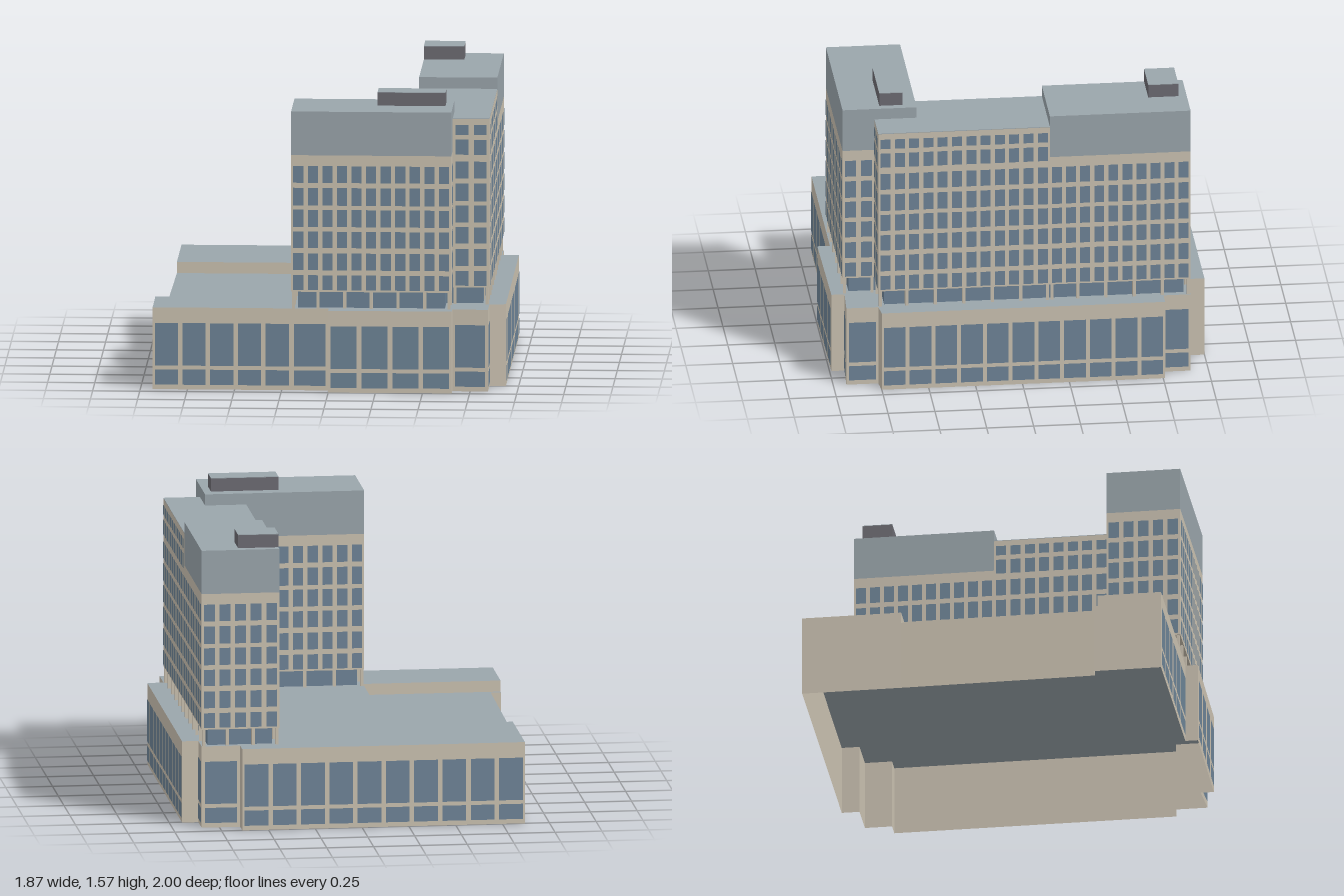
import * as THREE from 'three';
import { mergeGeometries } from 'three/addons/utils/BufferGeometryUtils.js';

const mat = (name, color, side = THREE.FrontSide) => {
  const m = new THREE.MeshStandardMaterial({ color, side });
  m.name = name;
  return m;
};

export function createModel() {
  const stone = mat('stone', 0xcbc2b1, THREE.DoubleSide);
  const glass = mat('glass', 0x6e8497);
  const slate = mat('slate', 0x9aa5ab, THREE.DoubleSide);
  const plant = mat('plantGrey', 0x6c6b72);

  const model = new THREE.Group();
  model.name = 'building';
  const add = (parent, name, geo, material) => {
    const mesh = new THREE.Mesh(geo, material);
    mesh.name = name;
    parent.add(mesh);
    return mesh;
  };
  const boxGeo = (x0, x1, y0, y1, z0, z1) =>
    new THREE.BoxGeometry(x1 - x0, y1 - y0, z1 - z0)
      .translate((x0 + x1) / 2, (y0 + y1) / 2, (z0 + z1) / 2);

  // Places a geometry made on the local xy plane against the wall from a to b.
  // The outside lies on +z when the wall runs towards +x.
  const onWall = (geo, a, b) =>
    geo.rotateY(Math.atan2(-(b[1] - a[1]), b[0] - a[0])).translate(a[0], 0, a[1]);
  const length = (a, b) => Math.hypot(b[0] - a[0], b[1] - a[1]);

  const wall = (parent, name, a, b, y0, y1) => {
    const l = length(a, b);
    const g = new THREE.PlaneGeometry(l, y1 - y0).translate(l / 2, (y0 + y1) / 2, 0);
    add(parent, name, onWall(g, a, b), stone);
  };

  // Grid of panes: count columns, rows given as [bottom, top]
  const panes = (parent, name, a, b, count, rows, fill) => {
    const pitch = length(a, b) / count, list = [];
    for (let i = 0; i < count; i++) {
      for (const [y0, y1] of rows) {
        list.push(new THREE.PlaneGeometry(pitch * fill, y1 - y0)
          .translate((i + 0.5) * pitch, (y0 + y1) / 2, 0.003));
      }
    }
    add(parent, name, onWall(mergeGeometries(list), a, b), glass);
  };

  const flatRoof = (parent, name, points, y) => {
    const shape = new THREE.Shape(points.map(([x, z]) => new THREE.Vector2(x, -z)));
    add(parent, name, new THREE.ShapeGeometry(shape).rotateX(-Math.PI / 2).translate(0, y, 0), slate);
  };

  // Podium: a shell of walls, open below; each entry is start point and window count
  const podium = new THREE.Group();
  podium.name = 'podium';
  model.add(podium);
  const TOP = 0.44, LOW = 0.38;
  const outline = [
    [-0.935, 0.93, 5], [-0.2, 0.93, 1], [0, 0.93, 0], [0, 0.997, 4], [0.655, 0.99, 0],
    [0.655, 0.92, 1], [0.845, 0.93, 1], [0.845, 0.76, 0], [0.932, 0.75, 11], [0.932, -0.76, 0],
    [0.845, -0.76, 1], [0.845, -0.905, 1], [0.64, -0.905, 0], [0.64, -1, 10],
    [-0.87, -1, 0], [-0.87, -0.47, 0], [-0.88, 0.57, 0], [-0.935, 0.57, 0], [-0.935, 0.59, 0],
  ];
  const podiumRows = [[0.025, 0.107], [0.128, 0.357]];
  outline.forEach((a, i) => {
    const b = outline[(i + 1) % outline.length];
    wall(podium, 'podiumWall', a, b, 0, i >= 15 && i <= 17 ? LOW : TOP);
    if (a[2]) panes(podium, 'podiumWindows', a, b, a[2], podiumRows, 0.84);
  });

  // Lower deck across the whole podium, seen as a sunken strip and as the ceiling
  flatRoof(podium, 'lowerDeck', outline, LOW);
  // Upper roof around the sunken strip, with the strip's upstands
  const strip = [[-0.87, -0.47], [-0.2, -0.47], [-0.2, 0.59], [-0.935, 0.59]];
  flatRoof(podium, 'podiumRoof', [...outline.slice(0, 15), ...strip], TOP);
  for (let i = 0; i < 3; i++) wall(podium, 'roofStep', strip[i], strip[i + 1], LOW, TOP);

  // Towers
  const towers = new THREE.Group();
  towers.name = 'towers';
  model.add(towers);
  const BASE = 0.53, BAND = 1.265, HIGH = 1.5, MID = 1.437;
  for (const [name, x0, x1, z0, z1] of [
    ['frontTower', -0.2, 0.65, 0.535, 0.93], ['backTower', 0.43, 0.845, -0.905, -0.155]]) {
    add(towers, name, boxGeo(x0, x1, BASE, BAND, z0, z1), stone);
    add(towers, name + 'Crown', boxGeo(x0, x1, BAND, HIGH, z0, z1), slate);
  }
  add(towers, 'middleTower', boxGeo(0.43, 0.845, BASE, MID, -0.155, 0.76), stone);
  add(towers, 'middleTowerRoof', boxGeo(0.43, 0.845, MID, MID + 0.003, -0.155, 0.76), slate);

  // Rooftop plant rooms with slate lids
  for (const [x0, x1, z0, z1] of [[0.25, 0.61, 0.605, 0.73], [0.43, 0.645, -0.86, -0.7]]) {
    add(towers, 'plantRoom', boxGeo(x0, x1, HIGH, 1.57, z0, z1), plant);
    add(towers, 'plantRoomRoof', boxGeo(x0, x1, 1.57, 1.573, z0, z1), slate);
  }

  // Recessed lobby glazing under the towers
  const inset = 0.035;
  for (const [x0, x1, z0, z1] of [[-0.2, 0.65, 0.535, 0.93], [0.43, 0.845, -0.905, 0.76]]) {
    add(towers, 'lobbyGlass',
      boxGeo(x0 + inset, x1 - inset, TOP, BASE, z0 + inset, z1 - inset), glass);
  }

  // Tower facades: ends, window columns, window rows
  const rows = [[0.54, 0.62], [0.647, 0.738], [0.767, 0.855], [0.88, 0.972],
    [0.995, 1.09], [1.117, 1.208], [1.245, 1.326], [1.352, 1.406]];
  const facades = [
    [[-0.2, 0.93], [0.65, 0.93], 11, 6],
    [[0.65, 0.93], [0.65, 0.76], 2, 6],
    [[0.65, 0.76], [0.845, 0.76], 2, 8],
    [[0.845, 0.76], [0.845, -0.155], 12, 8],
    [[0.845, -0.155], [0.845, -0.905], 10, 6],
    [[0.845, -0.905], [0.43, -0.905], 5, 6],
    [[0.43, -0.905], [0.43, -0.155], 10, 6],
    [[0.43, -0.155], [0.43, 0.535], 9, 8],
    [[0.43, 0.535], [-0.2, 0.535], 8, 6],
    [[-0.2, 0.535], [-0.2, 0.93], 5, 6],
  ];
  for (const [a, b, count, storeys] of facades) {
    panes(towers, 'towerWindows', a, b, count, rows.slice(0, storeys), 0.7);

    // Slim columns on the edge and mullions on the lobby glass behind them
    const l = length(a, b), bays = Math.max(1, Math.round(l / 0.145)), list = [];
    for (let i = 0; i <= bays; i++) {
      const x = THREE.MathUtils.clamp(i * l / bays, 0.012, l - 0.012);
      list.push(boxGeo(x - 0.008, x + 0.008, TOP, BASE, -0.02, -0.004));
      if (i > 0 && i < bays) list.push(boxGeo(x - 0.008, x + 0.008, TOP, BASE, -0.04, -0.03));
    }
    add(towers, 'lobbyColumns', onWall(mergeGeometries(list), a, b), stone);
  }
  return model;
}
